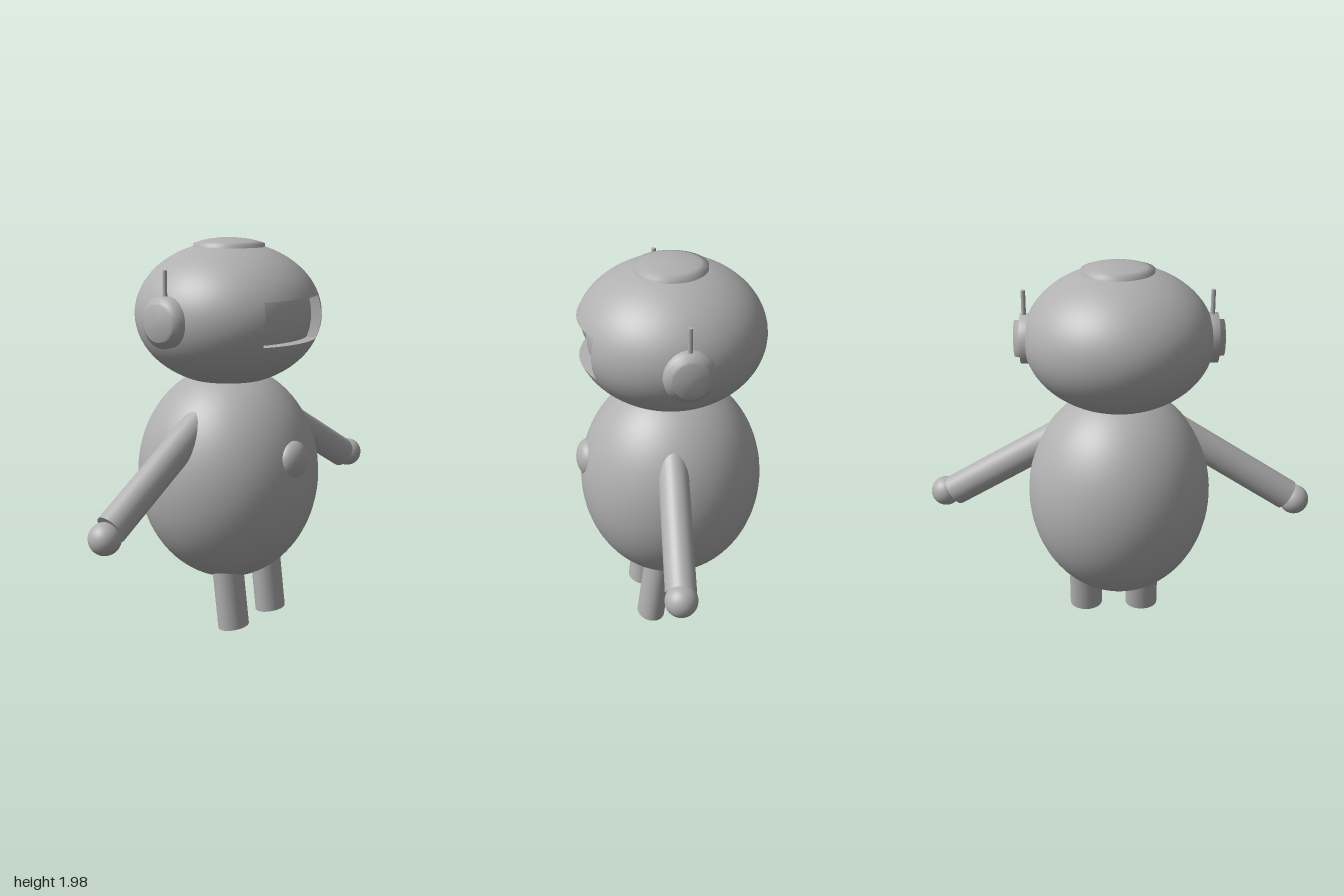
import * as THREE from 'three';

export function createModel() {
  const model = new THREE.Group();
  model.name = 'robot';
  const grey = new THREE.MeshStandardMaterial({ color: 0xb0b0b0 });
  grey.name = 'grey';
  const V = (x, y, z) => new THREE.Vector3(x, y, z);

  function add(name, geometry, x = 0, y = 0, z = 0, parent = model) {
    const mesh = new THREE.Mesh(geometry, grey);
    mesh.name = name;
    mesh.position.set(x, y, z);
    parent.add(mesh);
    return mesh;
  }

  // Slightly oval tube between two points
  function limb(name, from, to, rx, rz) {
    const dir = to.clone().sub(from);
    const geo = new THREE.CylinderGeometry(1, 1, dir.length(), 32).scale(rx, 1, rz);
    const mid = from.clone().add(to).multiplyScalar(0.5);
    const mesh = add(name, geo, mid.x, mid.y, mid.z);
    mesh.quaternion.setFromUnitVectors(V(0, -1, 0), dir.normalize());
    // undo the half turn so the oval keeps its axes
    mesh.quaternion.setFromUnitVectors(V(0, 1, 0), dir.negate());
  }

  // Egg-shaped body with a round chest button facing +x
  add('body', new THREE.SphereGeometry(1, 64, 40).scale(0.465, 0.555, 0.465), -0.01, 0.79, -0.005);
  add('chestButton', new THREE.SphereGeometry(1, 32, 20).scale(0.065, 0.098, 0.098), 0.41, 0.925, 0.008);

  // Head: ellipsoid shell with a recessed visor window
  const head = new THREE.Group();
  head.name = 'head';
  head.position.set(-0.01, 1.61, -0.005);
  model.add(head);
  const outer = [0.465, 0.354, 0.465], inner = [0.405, 0.347, 0.445];
  const step = Math.PI / 32, half = 5 * step, t0 = 1.284, t1 = 1.887;
  const patch = (name, size, segs, rows, phi, phiLen, theta, thetaLen) =>
    add(name, new THREE.SphereGeometry(1, segs, rows, phi, phiLen, theta, thetaLen).scale(...size), 0, 0, 0, head);
  patch('headTop', outer, 64, 18, Math.PI + half, Math.PI * 2, 0, t0);
  patch('headBottom', outer, 64, 18, Math.PI + half, Math.PI * 2, t1, Math.PI - t1);
  patch('headBand', outer, 54, 8, Math.PI + half, Math.PI * 2 - 2 * half, t0, t1 - t0);
  patch('visorFloor', inner, 10, 8, Math.PI - half, 2 * half, t0, t1 - t0);

  // Four walls joining the window rim to the visor floor
  const point = (size, p, t) => [
    -size[0] * Math.cos(p) * Math.sin(t), size[1] * Math.cos(t), size[2] * Math.sin(p) * Math.sin(t)];
  const corners = [[-half, t0], [half, t0], [half, t1], [-half, t1]];
  const wall = [];
  corners.forEach((a, i) => {
    const b = corners[(i + 1) % 4];
    for (let k = 0; k < 10; k++) {
      const at = (size, f) => point(size,
        Math.PI + THREE.MathUtils.lerp(a[0], b[0], f), THREE.MathUtils.lerp(a[1], b[1], f));
      const o0 = at(outer, k / 10), o1 = at(outer, (k + 1) / 10);
      const i0 = at(inner, k / 10), i1 = at(inner, (k + 1) / 10);
      wall.push(...o0, ...o1, ...i1, ...o0, ...i1, ...i0);
    }
  });
  const wallGeo = new THREE.BufferGeometry();
  wallGeo.setAttribute('position', new THREE.Float32BufferAttribute(wall, 3));
  wallGeo.computeVertexNormals();
  const wallMesh = add('visorWalls', wallGeo, 0, 0, 0, head);
  wallMesh.material = grey;
  grey.side = THREE.DoubleSide;

  // Shallow domed cap on the crown
  const lathe = (pts) => new THREE.LatheGeometry(pts.map((p) => new THREE.Vector2(...p)), 40);
  add('crownCap', lathe([[0.177, 0], [0.177, 0.052], [0.14, 0.064], [0.1, 0.073], [0.05, 0.079], [0, 0.081]]),
    -0.01, 1.9, -0.01);

  // Stepped ear discs with thin antennas
  for (const s of [1, -1]) {
    const side = s > 0 ? 'left' : 'right';
    const ear = add(side + 'Ear', lathe([[0.122, 0], [0.122, 0.06], [0.09, 0.065], [0.088, 0.09], [0, 0.093]]),
      -0.01, 1.61, s > 0 ? 0.415 : -0.422);
    ear.rotation.x = s * Math.PI / 2;
    add(side + 'Antenna', new THREE.CylinderGeometry(0.011, 0.011, 0.16, 12), -0.01, 1.77, s > 0 ? 0.447 : -0.463);
  }

  // Arms with ball hands, one swung slightly forward
  limb('leftArm', V(0.045, 1.125, 0.25), V(0.045, 0.72, 0.88), 0.073, 0.081);
  limb('rightArm', V(0.03, 1.115, -0.25), V(0.108, 0.73, -0.877), 0.073, 0.081);
  add('leftHand', new THREE.SphereGeometry(0.077, 32, 20), 0.05, 0.69, 0.923);
  add('rightHand', new THREE.SphereGeometry(0.077, 32, 20), 0.115, 0.725, -0.923);

  // Short legs leaning forward
  limb('leftLeg', V(0.08, 0.42, 0.12), V(0.133, 0.01, 0.12), 0.073, 0.088);
  limb('rightLeg', V(0.08, 0.42, -0.188), V(0.133, 0.01, -0.188), 0.073, 0.088);

  return model;
}
